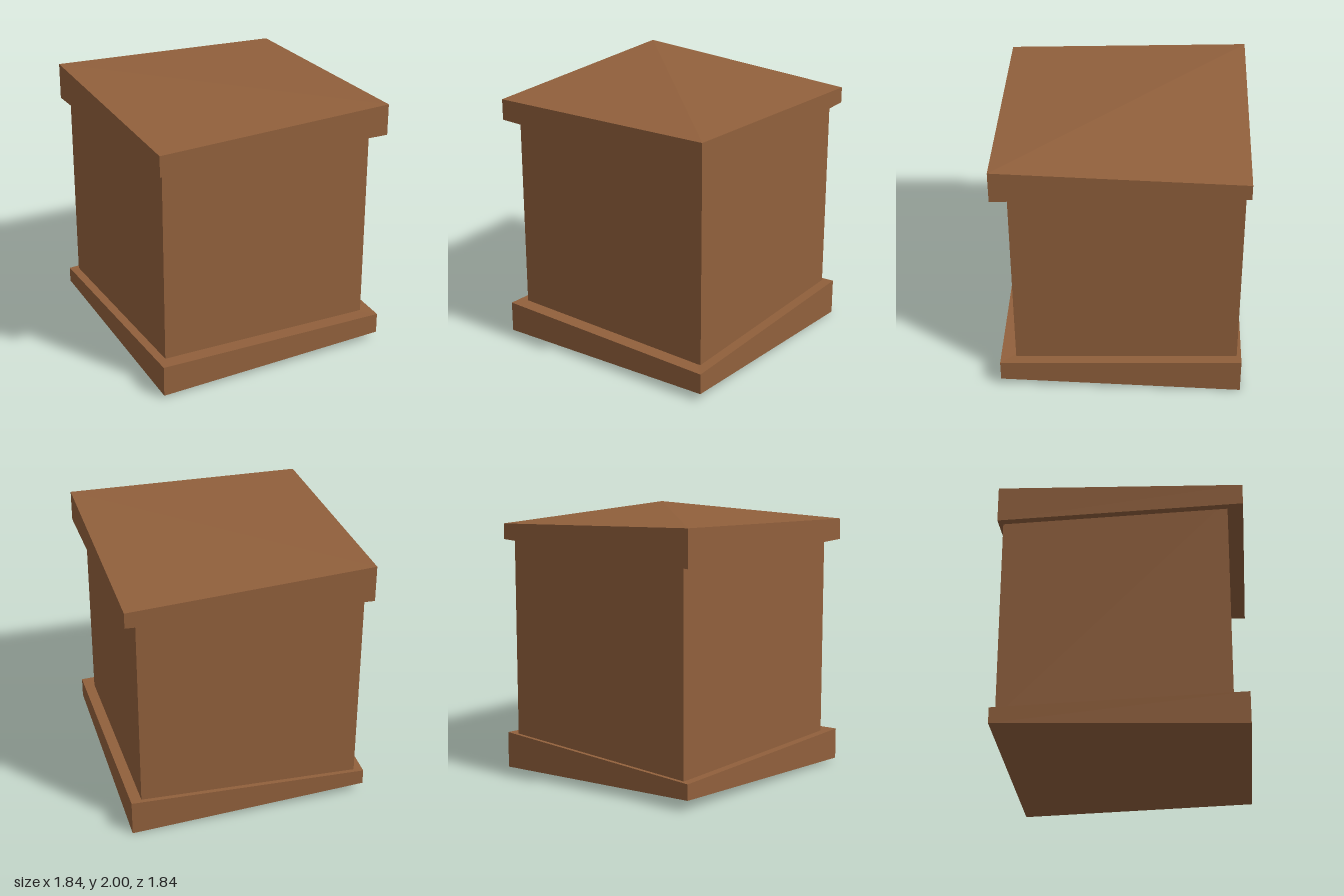
import * as THREE from 'three';

const H = 0.92; // half width of the slabs

// Warped slab; heights are listed frontLeftOnScreen(-x,+z), (+x,+z), (+x,-z), (-x,-z).
// fold: corner index where the top / bottom quads are split.
function warpedSlab(low, high, topFold, bottomFold) {
  const xz = [[-H, H], [H, H], [H, -H], [-H, -H]];
  const corner = (i, h) => [xz[i % 4][0], h[i % 4], xz[i % 4][1]];
  const pos = [];
  const tri = (...pts) => pts.forEach((p) => pos.push(...p));
  // folded top and bottom
  for (const k of [0, 2]) {
    const t = topFold + k, b = bottomFold + k;
    tri(corner(t, high), corner(t + 1, high), corner(t + 2, high));
    tri(corner(b, low), corner(b + 2, low), corner(b + 1, low));
  }
  // four upright sides
  for (let i = 0; i < 4; i++) {
    const a = corner(i, low), b = corner(i + 1, low), c = corner(i + 1, high), d = corner(i, high);
    tri(a, b, c);
    tri(a, c, d);
  }
  const geo = new THREE.BufferGeometry();
  geo.setAttribute('position', new THREE.Float32BufferAttribute(pos, 3));
  geo.computeVertexNormals();
  return geo;
}

export function createModel() {
  const model = new THREE.Group();
  model.name = 'crate';
  const wood = new THREE.MeshStandardMaterial({ color: 0x91603c });
  wood.name = 'brown wood';

  const add = (name, geo) => {
    const mesh = new THREE.Mesh(geo, wood);
    mesh.name = name;
    model.add(mesh);
    return mesh;
  };

  // box body, slightly off centre, ending inside both slabs
  add('body', new THREE.BoxGeometry(1.69, 1.7, 1.69)).position.set(-0.008, 1, -0.041);

  // crooked lid and its upside-down twin as the base
  const low = [1.78, 1.74, 1.8, 1.72];
  const high = [1.94, 1.98, 1.92, 2.0];
  add('lid', warpedSlab(low, high, 1, 0));
  const flip = (h) => [1, 0, 3, 2].map((i) => 2 - h[i]);
  add('base', warpedSlab(flip(high), flip(low), 1, 0));

  return model;
}
